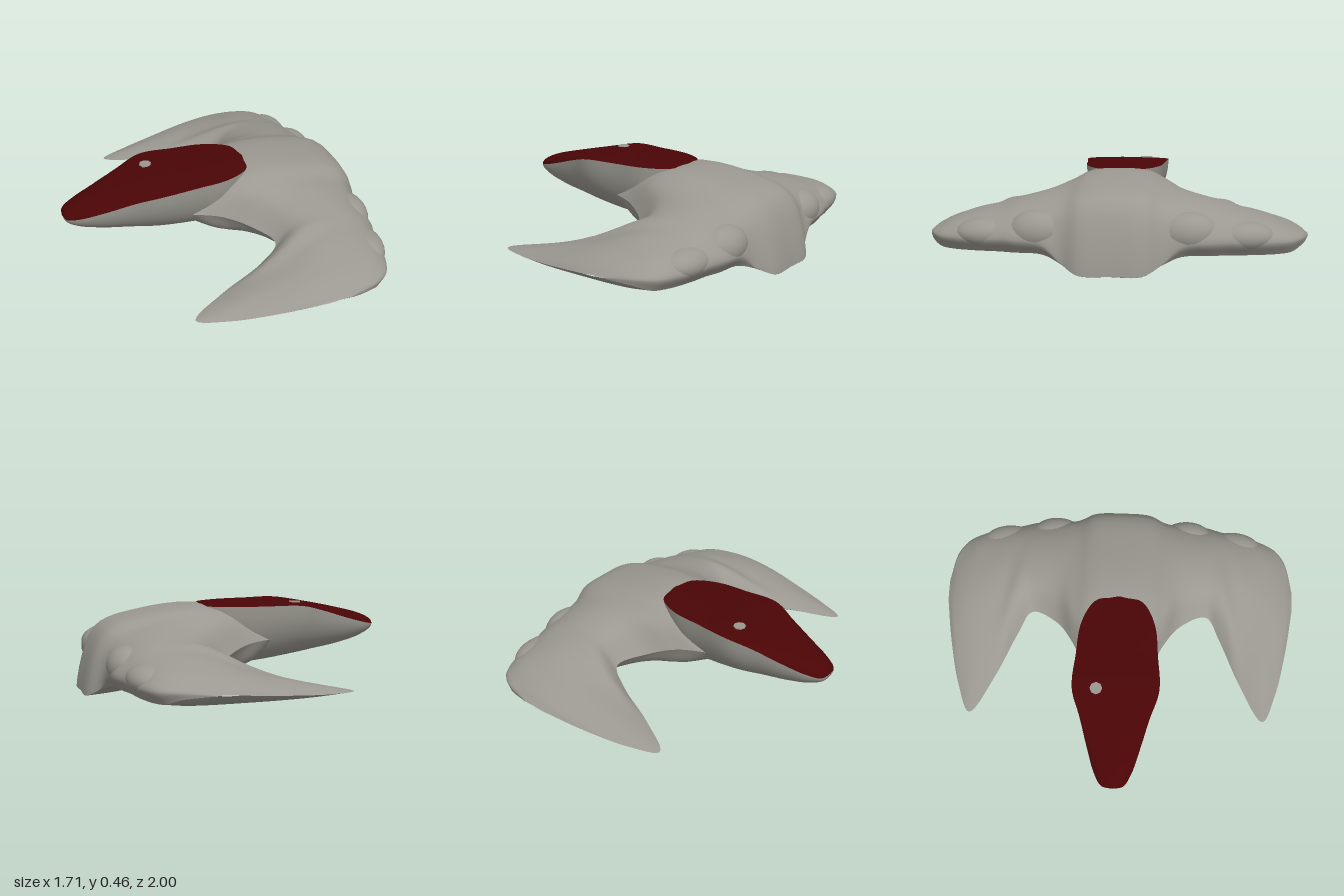
import * as THREE from 'three';

const grey = new THREE.MeshStandardMaterial({ color: 0x9a9890 });
grey.name = 'stone grey';
const red = new THREE.MeshStandardMaterial({ color: 0x4a0506 });
red.name = 'dark red';

const V = (x, y, z) => new THREE.Vector3(x, y, z);

// Smooth skin over a row of cross-sections; every section has the same point count.
function skin(sections, steps) {
  const cols = sections[0].length;
  const rails = [];
  for (let j = 0; j < cols; j++) {
    rails.push(new THREE.CatmullRomCurve3(sections.map((s) => s[j])).getPoints(steps));
  }
  const pos = [], index = [];
  for (let i = 0; i <= steps; i++) {
    for (let j = 0; j < cols; j++) pos.push(...rails[j][i].toArray());
  }
  for (let i = 0; i < steps; i++) {
    for (let j = 0; j < cols - 1; j++) {
      const a = i * cols + j, b = a + cols;
      index.push(a, b, a + 1, b, b + 1, a + 1);
    }
  }
  const g = new THREE.BufferGeometry();
  g.setAttribute('position', new THREE.Float32BufferAttribute(pos, 3));
  g.setIndex(index);
  g.computeVertexNormals();
  return g;
}

function add(parent, name, geometry, material) {
  const m = new THREE.Mesh(geometry, material);
  m.name = name;
  parent.add(m);
  return m;
}

// Half of the hub and wing: z, then x,y of front edge, three top points, back edge.
const wing = [
  [0, -0.2, 0.145, 0.1, 0.438, 0.5, 0.428, 0.75, 0.335, 0.85, 0.003],
  [0.16, -0.2, 0.25, 0.1, 0.43, 0.5, 0.418, 0.745, 0.325, 0.845, 0.005],
  [0.25, -0.03, 0.25, 0.13, 0.385, 0.5, 0.385, 0.72, 0.29, 0.79, 0.05],
  [0.35, 0.11, 0.21, 0.25, 0.345, 0.5, 0.365, 0.7, 0.28, 0.77, 0.14],
  [0.5, 0.18, 0.19, 0.3, 0.31, 0.5, 0.33, 0.67, 0.27, 0.76, 0.16],
  [0.58, 0.06, 0.14, 0.28, 0.3, 0.5, 0.305, 0.66, 0.255, 0.738, 0.16],
  [0.7, -0.2, 0.11, 0.1, 0.2, 0.4, 0.28, 0.63, 0.24, 0.715, 0.155],
  [0.83, -0.4, 0.085, 0.0, 0.165, 0.35, 0.235, 0.59, 0.22, 0.675, 0.155],
  [0.9, -0.25, 0.09, 0.0, 0.145, 0.3, 0.205, 0.53, 0.2, 0.635, 0.155],
  [0.96, 0.0, 0.11, 0.13, 0.145, 0.3, 0.172, 0.43, 0.175, 0.55, 0.155],
  [1, 0.26, 0.135, 0.29, 0.137, 0.32, 0.14, 0.35, 0.14, 0.38, 0.14],
];

const tipRise = (z) => Math.max(0, (z - 0.86) / 0.14) ** 2;

// Lower lip where the rear edge rolls under.
function rearLip(r, s) {
  const tuck = Math.max(0.002, 0.8 * (r[10] - 0.07) * (1 - tipRise(r[0])));
  return V(r[9] - 0.6 * tuck, r[10] - tuck, r[0] * s);
}

function wingTop(r, s) {
  const p = [];
  for (let k = 1; k < 11; k += 2) p.push(V(r[k], r[k + 1], r[0] * s));
  return [...p, rearLip(r, s)];
}

function wingUnderside(r, s) {
  const [z, xf, yf] = r, lip = rearLip(r, s), len = lip.x - xf;
  const mid = 0.07 + 0.065 * tipRise(z);
  return [
    lip,
    V(lip.x - 0.14 * len, Math.min(mid + 0.004, lip.y + 0.012), z * s),
    V((xf + lip.x) / 2, mid, z * s),
    V(xf + 0.16 * len, mid + 0.3 * (yf - mid), z * s),
    V(xf, yf, z * s),
  ];
}

function wingSections(profile) {
  const all = [
    ...wing.slice(1).reverse().map((r) => profile(r, -1)),
    ...wing.map((r) => profile(r, 1)),
  ];
  return all.map((p) => new THREE.CatmullRomCurve3(p).getPoints(25));
}

// Middle toe: x, half width, top, widest height, bottom.
const toe = [
  [-0.86, 0.003, 0.311, 0.31, 0.308],
  [-0.845, 0.06, 0.335, 0.308, 0.275],
  [-0.78, 0.1, 0.367, 0.323, 0.236],
  [-0.65, 0.143, 0.402, 0.36, 0.198],
  [-0.5, 0.187, 0.434, 0.408, 0.172],
  [-0.35, 0.235, 0.456, 0.447, 0.148],
  [-0.15, 0.222, 0.457, 0.45, 0.12],
  [0, 0.208, 0.457, 0.45, 0.11],
  [0.1, 0.172, 0.457, 0.45, 0.13],
  [0.155, 0.132, 0.457, 0.45, 0.16],
  [0.185, 0.07, 0.457, 0.45, 0.2],
];

function toeSections(start) {
  return toe.map(([x, w, top, mid, low]) => {
    const p = [];
    for (let k = 0; k <= 20; k++) {
      const a = start + (Math.PI * k) / 20;
      const h = start === 0 ? top - mid : mid - low;
      p.push(V(x, mid + h * Math.sin(a), w * Math.cos(a)));
    }
    return p;
  });
}

export function createModel() {
  const model = new THREE.Group();
  model.name = 'threeProngedClaw';
  const body = new THREE.Group();
  body.name = 'body';
  body.rotation.y = -0.02; // slight yaw of the whole form
  model.add(body);

  // Hub and swept side prongs
  add(body, 'wingTop', skin(wingSections(wingTop), 120), grey);
  add(body, 'wingUnderside', skin(wingSections(wingUnderside), 120), grey);

  // Middle toe with its red upper face
  add(body, 'toeUnderside', skin(toeSections(Math.PI), 60), grey);
  add(body, 'toeCap', skin(toeSections(0), 60), red);

  // Small light spot on the cap
  const spot = add(body, 'capSpot', new THREE.CylinderGeometry(0.034, 0.034, 0.006, 8), grey);
  spot.position.set(-0.35, 0.457, -0.105);

  // Shallow swellings along the rear edge
  for (const s of [-1, 1]) {
    for (const [x, y, z, rx, ry, rz] of [
      [0.66, 0.19, 0.38, 0.115, 0.11, 0.16],
      [0.62, 0.17, 0.65, 0.11, 0.08, 0.17],
    ]) {
      const pad = add(body, 'rearPad', new THREE.SphereGeometry(1, 24, 16), grey);
      pad.scale.set(rx, ry, rz);
      pad.position.set(x, y, z * s);
    }
  }
  return model;
}
